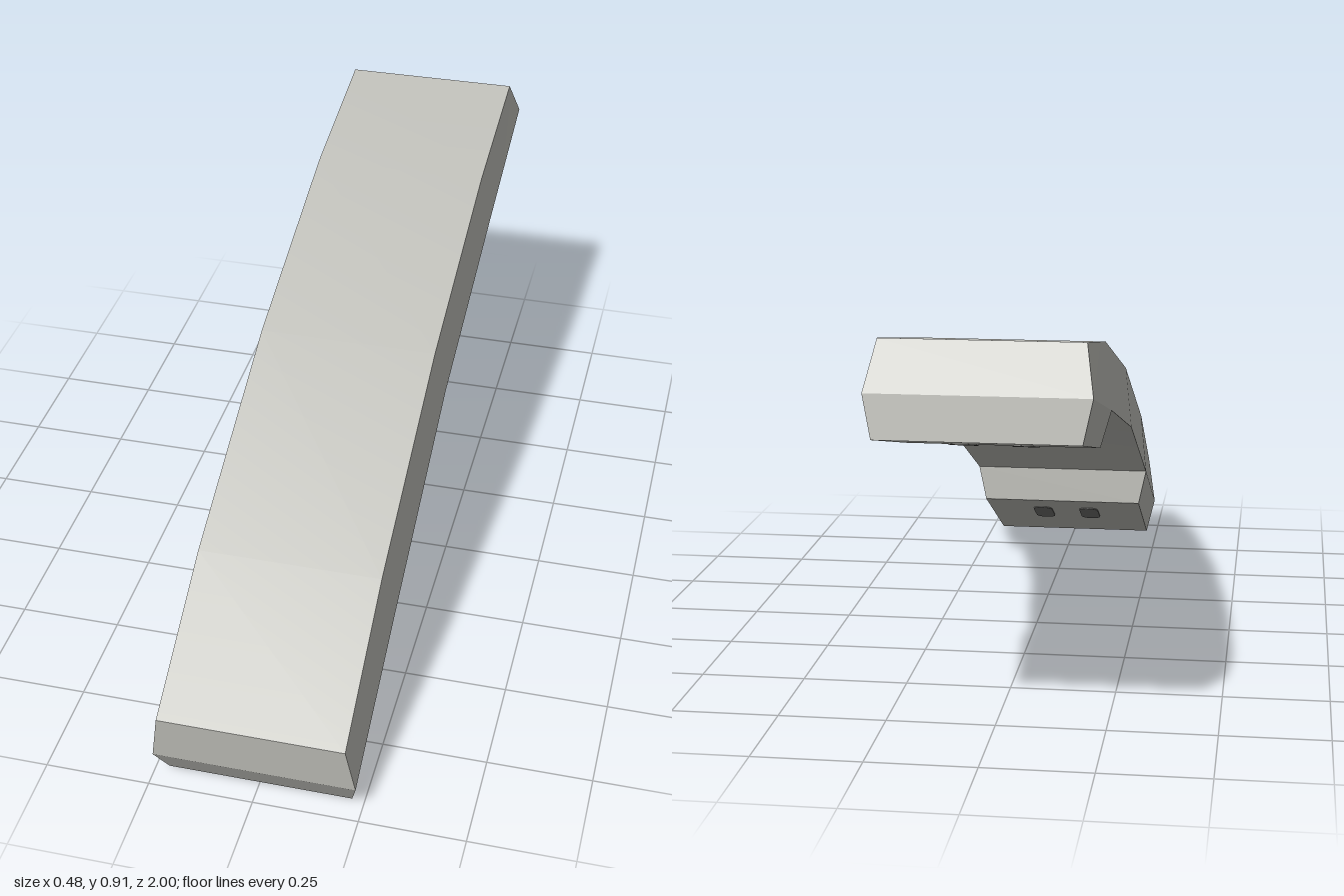
import * as THREE from 'three';
import { toCreasedNormals } from 'three/addons/utils/BufferGeometryUtils.js';

const NARROW = 0.22, WIDE = 0.24;

// Loft through four-cornered sections [topZ, topY, bottomZ, bottomY], front to back
function loft(stations, topHalf, bottomHalf) {
  const pos = [], idx = [];
  for (const [tz, ty, bz, by] of stations) {
    pos.push(topHalf, ty, tz, -topHalf, ty, tz, -bottomHalf, by, bz, bottomHalf, by, bz);
  }
  const last = (stations.length - 1) * 4;
  idx.push(0, 1, 2, 0, 2, 3, last, last + 2, last + 1, last, last + 3, last + 2);
  for (let i = 0; i < last; i += 4) {
    for (let j = 0; j < 4; j++) {
      const k = (j + 1) % 4;
      const a = i + j, b = i + 4 + j, c = i + 4 + k, d = i + k;
      idx.push(a, b, c, a, c, d);
    }
  }
  const geo = new THREE.BufferGeometry();
  geo.setAttribute('position', new THREE.Float32BufferAttribute(pos, 3));
  geo.setIndex(idx);
  return toCreasedNormals(geo, 0.5);
}

// Thin rounded slot plate; local +y points to the front of the handle
function slotGeometry(length, frontR, backR) {
  const shape = new THREE.Shape();
  shape.absarc(0, length / 2 - frontR, frontR, 0, Math.PI);
  shape.absarc(0, -length / 2 + backR, backR, Math.PI, Math.PI * 2);
  shape.closePath();
  const geo = new THREE.ExtrudeGeometry(shape, { depth: 0.006, bevelEnabled: false, curveSegments: 12 });
  return geo.translate(0, 0, -0.003);
}

export function createModel() {
  const group = new THREE.Group();
  group.name = 'archedHandle';
  const grey = new THREE.MeshStandardMaterial({ color: 0xbfbfb9 });
  grey.name = 'light grey';
  const dark = new THREE.MeshStandardMaterial({ color: 0x72726f });
  dark.name = 'dark grey';

  const add = (name, geo, mat) => {
    const mesh = new THREE.Mesh(geo, mat);
    mesh.name = name;
    group.add(mesh);
    return mesh;
  };

  // Arched grip, slightly wider along its underside
  add('grip', loft([
    [1, 0.21, 0.985, 0.083],
    [0.645, 0.42, 0.585, 0.272],
    [0.075, 0.667, 0.025, 0.523],
    [-0.505, 0.837, -0.56, 0.69],
    [-0.915, 0.907, -0.985, 0.803],
  ], NARROW, WIDE), grey);

  // Mounting feet, tapering downwards
  add('frontFoot', loft([[0.985, 0.083, 0.935, 0], [0.585, 0.272, 0.58, 0.178]], WIDE, NARROW), grey);
  add('backFoot', loft([[-0.56, 0.69, -0.615, 0.615], [-0.985, 0.803, -1, 0.708]], WIDE, NARROW), grey);

  // Marks on the undersides: t runs from the front edge to the back edge [z, y]
  function mark(name, geo, x, front, back, t) {
    const mesh = add(name, geo, dark);
    mesh.position.set(x, THREE.MathUtils.lerp(front[1], back[1], t), THREE.MathUtils.lerp(front[0], back[0], t));
    mesh.rotation.x = Math.atan2(front[0] - back[0], front[1] - back[1]);
  }
  const slot = slotGeometry(0.135, 0.027, 0.027);
  const keySlot = slotGeometry(0.11, 0.031, 0.02);
  for (const side of [1, -1]) {
    mark('frontScrewSlot', slot, side * 0.067, [0.935, 0], [0.58, 0.178], 0.62);
    mark('backScrewSlot', side > 0 ? slot : keySlot, side * 0.067, [-0.615, 0.615], [-1, 0.708], 0.345);
  }
  mark('pinHole', slotGeometry(0.05, 0.025, 0.025), 0, [0.025, 0.523], [-0.56, 0.69], 0.395);

  return group;
}
